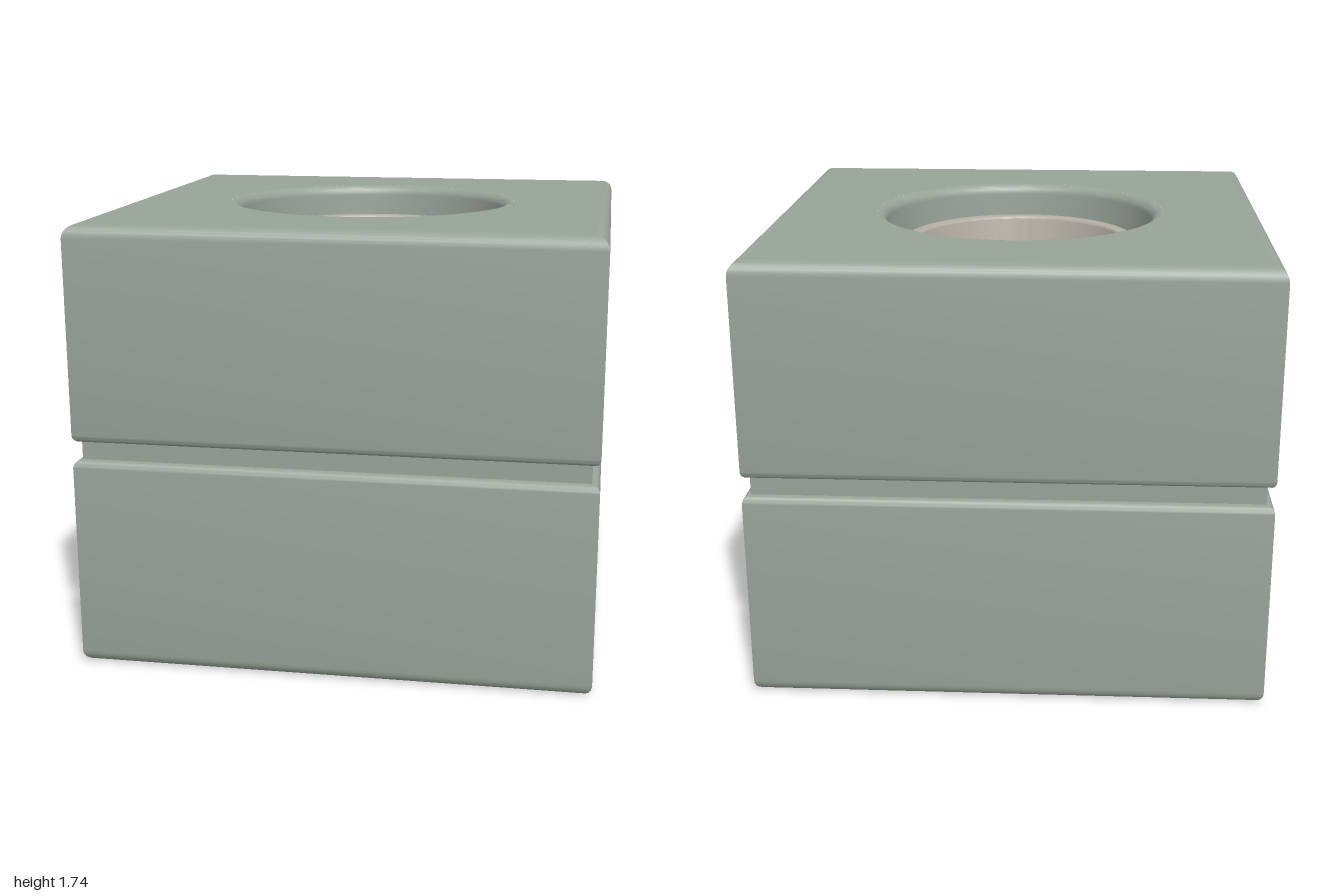
import * as THREE from 'three';
import { toCreasedNormals } from 'three/addons/utils/BufferGeometryUtils.js';

const HEIGHT = 1.74, HOLE = 0.555, EDGE = 0.05, LIP = 0.04, ROUND = 96;

// points along a circular fillet, angles in quarter turns
function arc(cx, cy, r, from, to, steps = 6) {
  return Array.from({ length: steps + 1 }, (_, i) => {
    const a = (from + (to - from) * i / steps) * Math.PI / 2;
    return new THREE.Vector2(cx + r * Math.cos(a), cy + r * Math.sin(a));
  });
}

const p = (x, y) => new THREE.Vector2(x, y);
const crease = (geometry) => toCreasedNormals(geometry, 0.6);

function addMesh(group, name, geometry, material) {
  const mesh = new THREE.Mesh(geometry, material);
  mesh.name = name;
  group.add(mesh);
}

export function createModel() {
  const model = new THREE.Group();
  const stone = new THREE.MeshStandardMaterial({ color: 0x98a398 });
  const clay = new THREE.MeshStandardMaterial({ color: 0xb5aea6 });

  const block = new THREE.Group();
  block.name = 'block';
  model.add(block);

  // square sides: an edge profile with a groove, swept round four mitred corners
  const mid = HEIGHT / 2;
  const side = [
    ...arc(1 - EDGE, EDGE, EDGE, -1, 0),
    ...arc(0.97, mid - 0.065, 0.03, 0, 1),
    ...arc(0.97, mid + 0.065, 0.03, -1, 0),
    ...arc(1 - EDGE, HEIGHT - EDGE, EDGE, 0, 1),
  ].map((v) => p(v.x * Math.SQRT2, v.y));
  const sides = new THREE.LatheGeometry(side, 4).rotateY(Math.PI / 4);
  addMesh(block, 'blockSides', crease(sides), stone);

  // top and bottom faces with the round opening
  const s = 1 - EDGE;
  const face = new THREE.Shape([p(-s, -s), p(s, -s), p(s, s), p(-s, s)]);
  face.holes.push(new THREE.Path().absarc(0, 0, HOLE + LIP, 0, Math.PI * 2, true));
  const faceGeometry = new THREE.ShapeGeometry(face, ROUND);
  addMesh(block, 'topFace', faceGeometry.clone().rotateX(-Math.PI / 2).translate(0, HEIGHT, 0), stone);
  addMesh(block, 'bottomFace', faceGeometry.clone().rotateX(Math.PI / 2), stone);

  // through bore with rounded lips
  const bore = [
    ...arc(HOLE + LIP, HEIGHT - LIP, LIP, 1, 2),
    ...arc(HOLE + LIP, LIP, LIP, 2, 3),
  ];
  addMesh(block, 'bore', crease(new THREE.LatheGeometry(bore, ROUND)), stone);

  // cup standing free inside the bore
  const base = 0.05, rim = 1.62, floor = 0.13;
  const cup = [
    p(0, base),
    ...arc(0.45, base + 0.04, 0.04, -1, 0),
    ...arc(0.48, rim - 0.01, 0.01, 0, 1, 3),
    ...arc(0.44, rim - 0.01, 0.01, 1, 2, 3),
    ...arc(0.40, floor + 0.03, 0.03, 0, -1),
    p(0, floor),
  ];
  addMesh(model, 'cup', crease(new THREE.LatheGeometry(cup, ROUND)), clay);

  return model;
}
